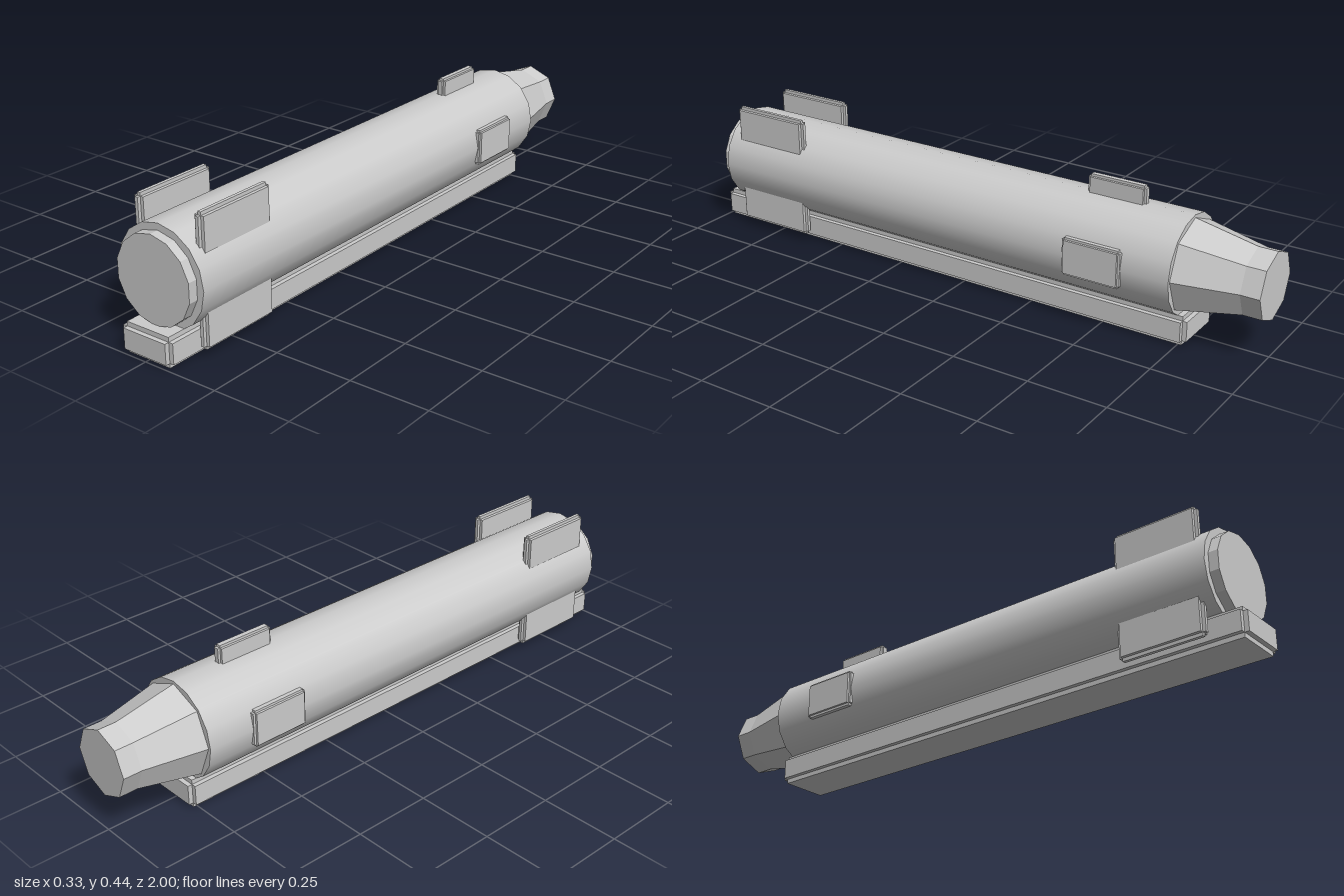
import * as THREE from 'three';

export function createModel() {
  const model = new THREE.Group();
  const smooth = new THREE.MeshStandardMaterial({ color: 0xcccccc });
  const faceted = new THREE.MeshStandardMaterial({ color: 0xcccccc, flatShading: true });
  const axisY = 0.225;

  // Round section along z, from zBack to zFront
  function section(name, rFront, rBack, zBack, zFront, sides, material) {
    const geo = new THREE.CylinderGeometry(rFront, rBack, zFront - zBack, sides);
    geo.rotateX(Math.PI / 2);
    const mesh = new THREE.Mesh(geo, material);
    mesh.position.set(0, axisY, (zFront + zBack) / 2);
    mesh.name = name;
    model.add(mesh);
  }

  // Block with stepped edges: three crossing boxes, each full size along one axis
  function steppedBlock(name, min, max, step) {
    const group = new THREE.Group();
    group.name = name;
    const size = max.map((v, i) => v - min[i]);
    for (let axis = 0; axis < 3; axis++) {
      const dims = size.map((s, i) => (i === axis ? s : s - 2 * step));
      const mesh = new THREE.Mesh(new THREE.BoxGeometry(...dims), faceted);
      mesh.name = name + 'Core' + 'XYZ'[axis];
      group.add(mesh);
    }
    group.position.set(...max.map((v, i) => (v + min[i]) / 2));
    model.add(group);
  }

  // Tube, front cap and tapered octagonal tail
  section('body', 0.156, 0.156, -0.745, 0.925, 16, smooth);
  section('frontCap', 0.135, 0.135, 0.9, 0.955, 14, faceted);
  section('tailTaper', 0.147, 0.107, -0.94, -0.745, 8, faceted);
  section('tailEnd', 0.107, 0.107, -1, -0.94, 8, faceted);

  // Rail under the tube
  steppedBlock('rail', [-0.092, 0, -0.776], [0.092, 0.093, 1], 0.0145);

  // Front fins, each showing above and below the tube
  for (const [name, x] of [['leftFin', 0.11], ['rightFin', -0.11]]) {
    steppedBlock(name, [x - 0.016, 0.023, 0.612], [x + 0.016, 0.427, 0.892], 0.0105);
  }

  // Rear lugs: one upright, one reaching out of both sides
  steppedBlock('uprightLug', [-0.016, 0.015, -0.592], [0.016, 0.435, -0.4], 0.008);
  steppedBlock('sideLugs', [-0.165, 0.165, -0.592], [0.165, 0.285, -0.4], 0.0075);

  return model;
}
